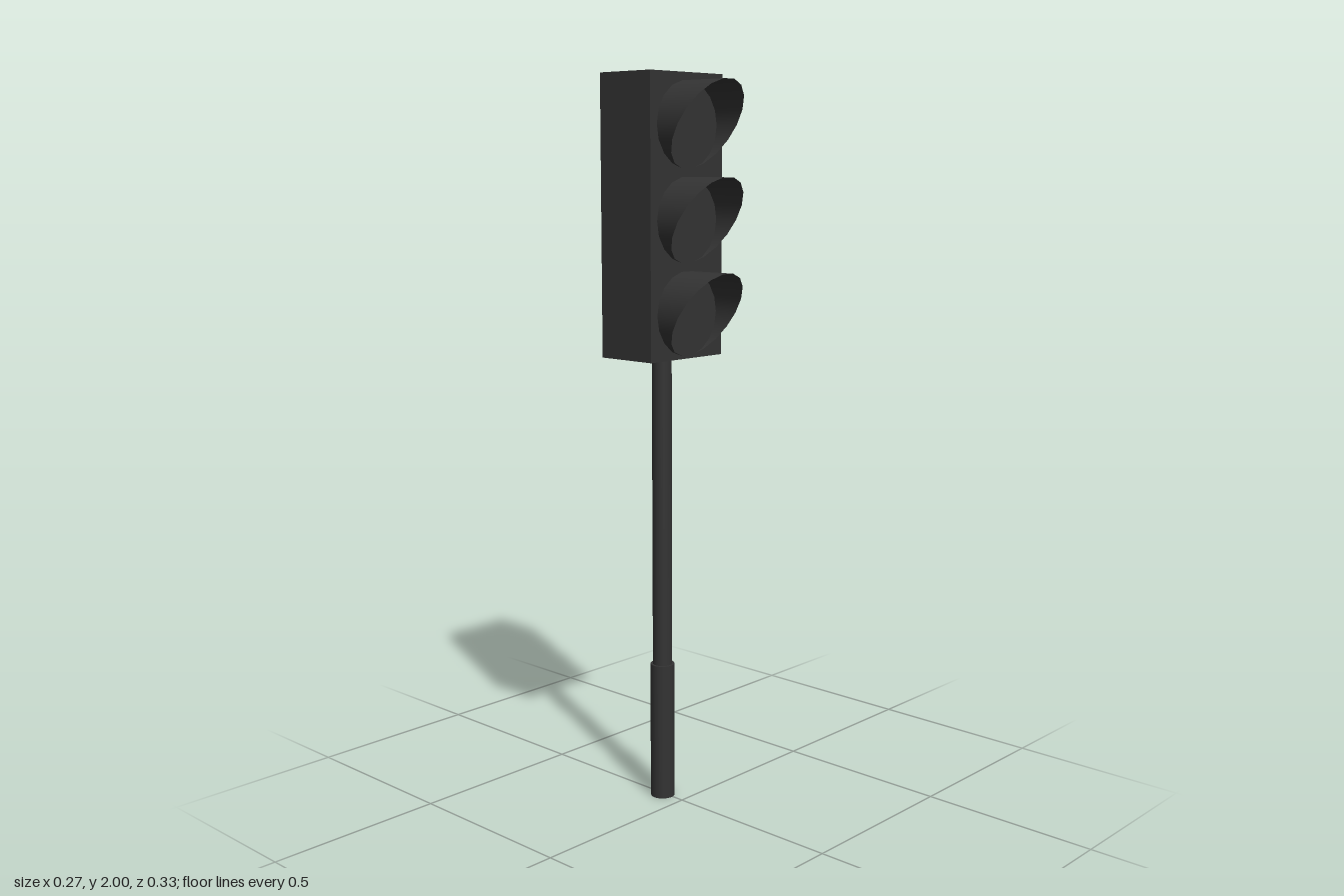
import * as THREE from 'three';

const FACE_Z = 0.018;   // front face of the signal box
const HOOD_R = 0.113;
const HOOD_DEPTH = 0.145;
const SIDES = 18;

const dark = new THREE.MeshStandardMaterial({ color: 0x333333 });
const darkThin = new THREE.MeshStandardMaterial({ color: 0x333333, side: THREE.DoubleSide });

function addPart(parent, name, geometry, material, x, y, z) {
  const mesh = new THREE.Mesh(geometry, material);
  mesh.name = name;
  mesh.position.set(x, y, z);
  parent.add(mesh);
  return mesh;
}

// Open tube along z, its front rim cut on a slant: deep at the top, nothing at the bottom
function hoodGeometry() {
  const geo = new THREE.CylinderGeometry(HOOD_R, HOOD_R, 1, SIDES, 1, true, Math.PI / SIDES);
  geo.rotateX(Math.PI / 2);
  const pos = geo.attributes.position;
  const top = HOOD_R * Math.cos(Math.PI / SIDES);
  for (let i = 0; i < pos.count; i++) {
    const reach = HOOD_DEPTH * (pos.getY(i) / top + 1) / 2;
    pos.setZ(i, pos.getZ(i) > 0 ? reach : 0);
  }
  return geo;
}

export function createModel() {
  const model = new THREE.Group();
  model.name = 'trafficLight';

  // Post: thick foot sleeve and slimmer pole
  addPart(model, 'postSleeve', new THREE.CylinderGeometry(0.034, 0.034, 0.39, SIDES), dark, -0.005, 0.195, -0.07);
  addPart(model, 'pole', new THREE.CylinderGeometry(0.027, 0.027, 0.88, SIDES), dark, -0.005, 0.82, -0.07);

  // Signal box
  addPart(model, 'signalBox', new THREE.BoxGeometry(0.274, 0.743, 0.181), dark, 0, 1.6285, FACE_Z - 0.0905);

  // Three lamps, each a flat lens under a slanted hood
  const hood = hoodGeometry();
  const lens = new THREE.CircleGeometry(HOOD_R, SIDES, Math.PI / 2 + Math.PI / SIDES);
  ['top', 'middle', 'bottom'].forEach((place, i) => {
    const lamp = new THREE.Group();
    lamp.name = place + 'Lamp';
    lamp.position.set(0, 1.867 - i * 0.245, FACE_Z);
    addPart(lamp, 'hood', hood, darkThin, 0, 0, 0);
    addPart(lamp, 'lens', lens, dark, 0, 0, 0.002);
    model.add(lamp);
  });

  return model;
}
